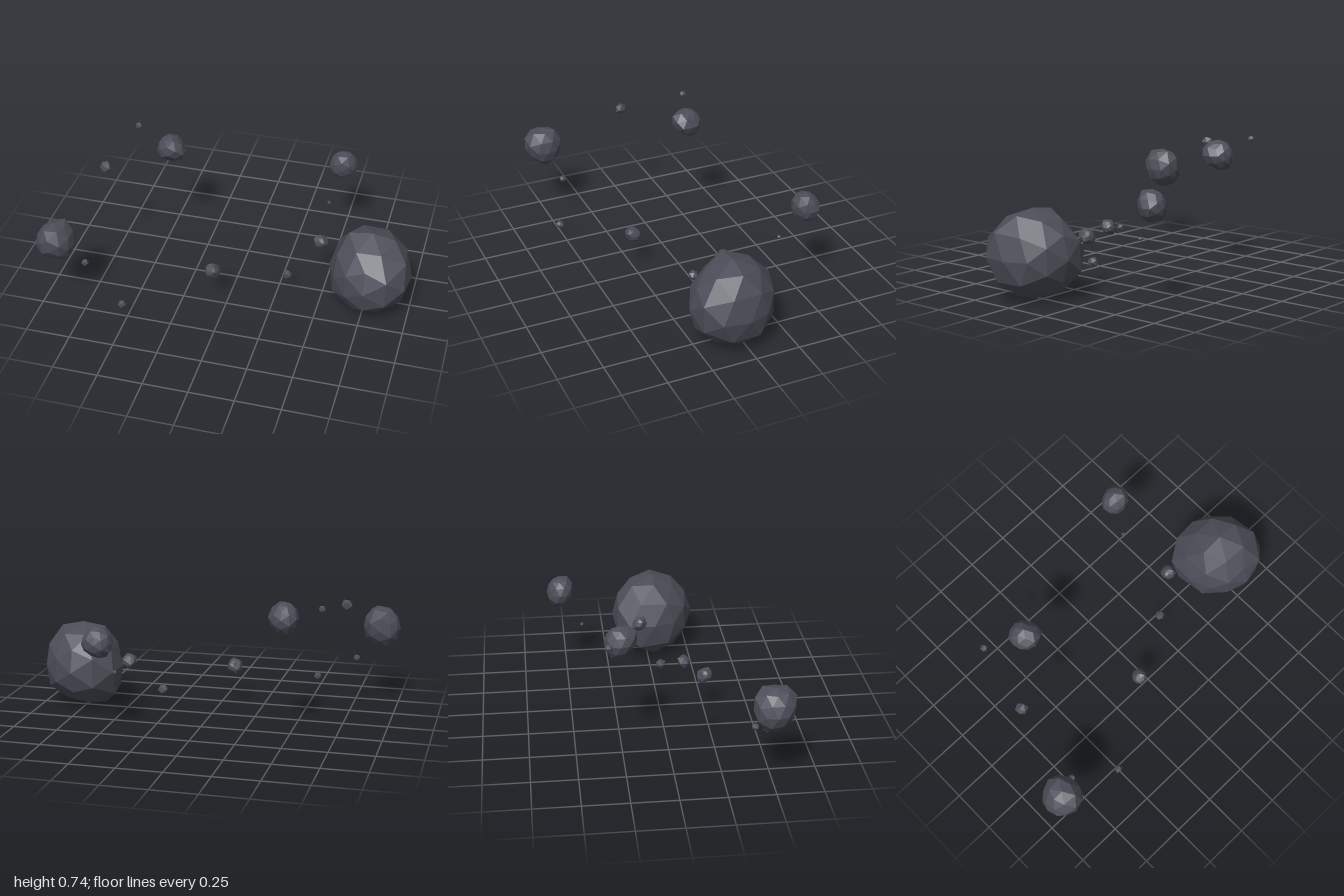
import * as THREE from 'three';

// Large rocks: centre, half sizes, and knobs (direction x, y, z, then height; negative carves a hollow).
const ASTEROIDS = [
  {
    name: 'largeAsteroid', centre: [.77, .237, .037], half: [.217, .236, .24],
    knobs: [[-.82, -.57, 0, .2], [-.51, .86, 0, .16], [.75, .66, 0, .12], [.9, -.45, 0, .12],
      [-.75, .1, -.65, .2], [.7, -.1, .7, .14]],
  },
  {
    name: 'taperedAsteroid', centre: [-.892, .44, .495], half: [.109, .12, .108],
    knobs: [[.5, .65, -.55, .22], [0, .7, .72, .22], [0, -.7, .7, -.3], [0, .5, -.85, .12], [-.75, -.6, 0, -.08]],
  },
  {
    name: 'jaggedAsteroid', centre: [-.457, .647, -.252], half: [.082, .087, .084],
    knobs: [[.85, 0, .53, .2], [0, .5, .87, .2], [0, -.87, -.49, .15], [-.74, 0, -.67, .1],
      [.1, -.75, .65, -.35], [.65, .7, -.1, -.2]],
  },
  {
    name: 'roundAsteroid', centre: [.492, .52, -.53], half: [.082, .084, .076],
    knobs: [[.5, .85, 0, .1], [0, .76, .65, .2], [-.7, -.7, 0, .1], [.85, 0, -.5, .1]],
  },
];

// Fragments: centre x, y, z and mean radius
const FRAGMENTS = [
  [-.75, .663, .045, .033],
  [-.675, .72, -.325, .02],
  [-.76, .267, .422, .02],
  [-.515, .11, .533, .023],
  [-.075, .22, .25, .041],
  [.3, .11, .042, .029],
  [.467, .297, -.065, .04],
  [.44, .325, -.408, .012],
];

// Gentle unevenness that differs from rock to rock and vanishes along the axes
const unevenness = (d, seed) => Math.sin((5 + seed) * d.x * d.y) + Math.sin((9 - seed) * d.y * d.z)
  + Math.sin((4 + 2 * seed) * d.z * d.x);

// A faceted rock: icosahedron vertices pushed in or out along their direction
function makeRock(detail, centre, half, radiusAt) {
  const geo = new THREE.IcosahedronGeometry(1, detail);
  const pos = geo.attributes.position;
  const d = new THREE.Vector3();
  for (let i = 0; i < pos.count; i++) {
    d.fromBufferAttribute(pos, i).normalize();
    d.multiplyScalar(radiusAt(d));
    pos.setXYZ(i, centre[0] + d.x * half[0], centre[1] + d.y * half[1], centre[2] + d.z * half[2]);
  }
  geo.computeVertexNormals();
  return geo;
}

export function createModel() {
  const group = new THREE.Group();
  group.name = 'asteroidField';
  const stone = new THREE.MeshStandardMaterial({ color: 0x4b4e58 });
  stone.name = 'darkStone';

  const add = (name, geo) => {
    const mesh = new THREE.Mesh(geo, stone);
    mesh.name = name;
    group.add(mesh);
  };

  // Large rocks with knobs and hollows
  ASTEROIDS.forEach(({ name, centre, half, knobs }, seed) => {
    const radiusAt = (d) => knobs.reduce(
      (r, [x, y, z, height]) => r + height * Math.max(0, d.x * x + d.y * y + d.z * z) ** 8,
      1 + 0.025 * unevenness(d, seed),
    );
    add(name, makeRock(1, centre, half, radiusAt));
  });

  // Small fragments, the biggest with finer facets
  FRAGMENTS.forEach(([x, y, z, r], i) => {
    const radiusAt = (d) => 1.05 + 0.08 * unevenness(d, i);
    add(`fragment${i + 1}`, makeRock(r > 0.035 ? 1 : 0, [x, y, z], [r, r, r], radiusAt));
  });

  return group;
}
